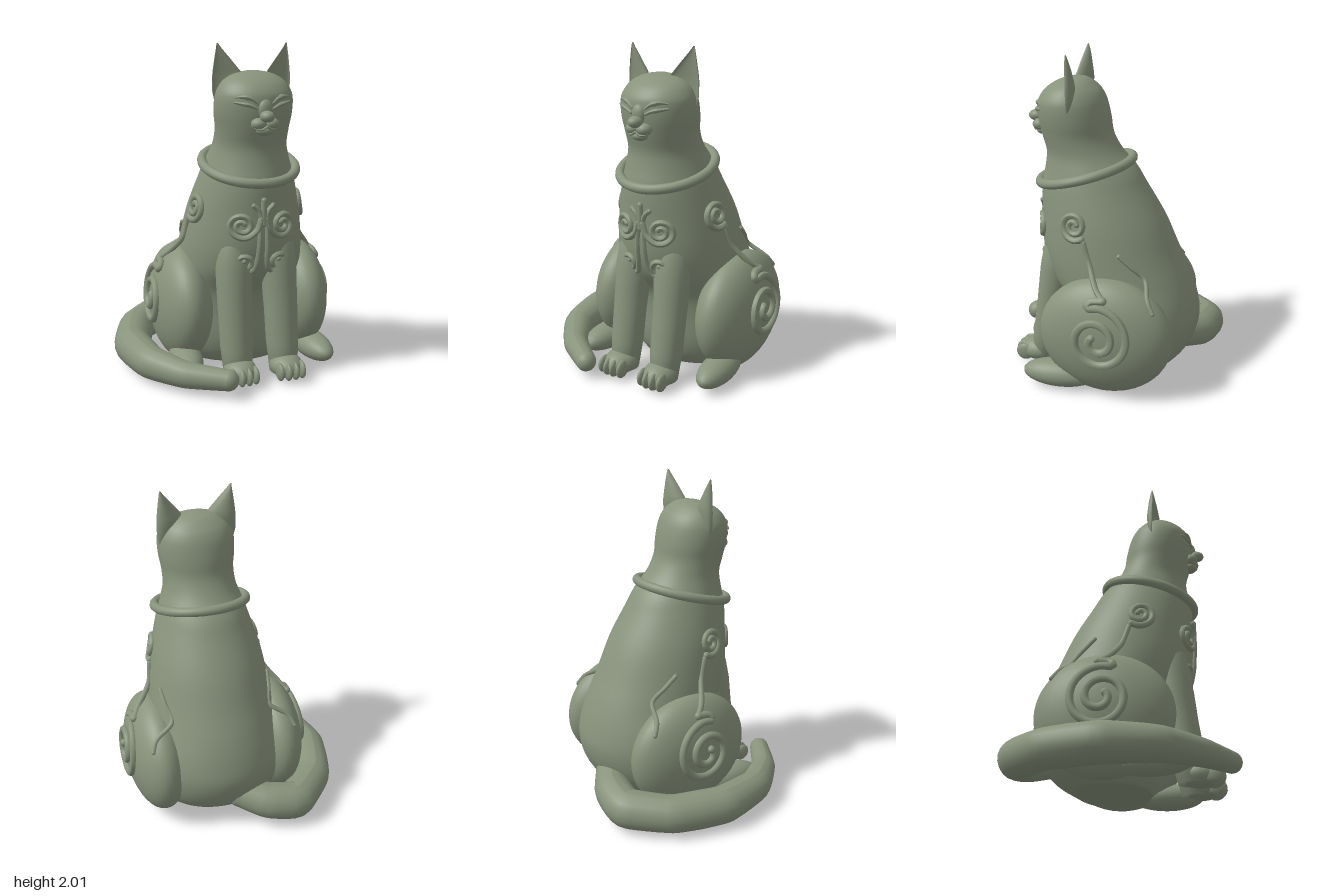
import * as THREE from 'three';

const stone = new THREE.MeshStandardMaterial({ color: 0x88937c });
stone.name = 'grey green stone';

// Torso, neck and head: height, back z, front z, half width
const PROFILE = [
  [0, -0.3, 0.14, 0.3], [0.08, -0.43, 0.2, 0.37], [0.2, -0.53, 0.23, 0.42],
  [0.36, -0.575, 0.24, 0.435], [0.5, -0.555, 0.27, 0.425], [0.65, -0.505, 0.37, 0.4],
  [0.8, -0.435, 0.415, 0.38], [1.0, -0.345, 0.42, 0.345], [1.2, -0.225, 0.42, 0.29],
  [1.3, -0.165, 0.4, 0.258], [1.4, -0.075, 0.39, 0.225], [1.5, -0.018, 0.415, 0.222],
  [1.6, 0, 0.435, 0.235], [1.7, 0.025, 0.435, 0.232], [1.76, 0.055, 0.4, 0.205],
  [1.8, 0.095, 0.35, 0.165], [1.83, 0.14, 0.285, 0.1], [1.842, 0.185, 0.225, 0.03],
];

// Smooth interpolation of one profile column at height y
function profile(y, c) {
  const P = PROFILE, n = P.length - 1;
  let i = 0;
  while (i < n - 1 && y > P[i + 1][0]) i++;
  const slope = (k) => {
    const a = P[Math.max(k - 1, 0)], b = P[Math.min(k + 1, n)];
    return (b[c] - a[c]) / (b[0] - a[0]);
  };
  const h = P[i + 1][0] - P[i][0], t = (y - P[i][0]) / h, t2 = t * t, t3 = t2 * t;
  return (2 * t3 - 3 * t2 + 1) * P[i][c] + (t3 - 2 * t2 + t) * h * slope(i)
    + (3 * t2 - 2 * t3) * P[i + 1][c] + (t3 - t2) * h * slope(i + 1);
}

// Haunch ellipsoid
const H = { x: 0.385, y: 0.37, z: -0.08, rx: 0.19, ry: 0.37, rz: 0.41 };

// Surface lookups used to lay ornaments on the skin
function sideX(y, z) {
  const b = profile(y, 1), f = profile(y, 2);
  const q = 1 - ((z - (b + f) / 2) / ((f - b) / 2)) ** 2;
  const k = 1 - ((y - H.y) / H.ry) ** 2 - ((z - H.z) / H.rz) ** 2;
  return Math.max(q > 0 ? profile(y, 3) * Math.sqrt(q) : 0, k > 0 ? H.x + H.rx * Math.sqrt(k) : 0);
}
function frontZ(x, y) {
  const b = profile(y, 1), f = profile(y, 2);
  return (b + f) / 2 + ((f - b) / 2) * Math.sqrt(Math.max(0, 1 - (x / profile(y, 3)) ** 2));
}

// Closed skin over a stack of rings, bottom to top
function loft(rings) {
  const n = rings[0].length, pos = [], idx = [];
  rings.forEach((r) => r.forEach((p) => pos.push(...p)));
  for (let i = 0; i < rings.length - 1; i++) for (let j = 0; j < n; j++) {
    const a = i * n + j, b = i * n + (j + 1) % n;
    idx.push(a, a + n, b, b, a + n, b + n);
  }
  [0, rings.length - 1].forEach((i) => {
    const mid = [0, 1, 2].map((k) => rings[i].reduce((s, p) => s + p[k], 0) / n);
    const c = pos.length / 3;
    pos.push(...mid);
    for (let j = 0; j < n; j++) {
      const a = i * n + j, b = i * n + (j + 1) % n;
      if (i) idx.push(a, c, b); else idx.push(a, b, c);
    }
  });
  const g = new THREE.BufferGeometry();
  g.setAttribute('position', new THREE.Float32BufferAttribute(pos, 3));
  g.setIndex(idx);
  g.computeVertexNormals();
  return g;
}
function ring(n, fn) {
  return Array.from({ length: n }, (_, j) => fn(Math.cos(j / n * 2 * Math.PI), Math.sin(j / n * 2 * Math.PI)));
}

export function createModel() {
  const root = new THREE.Group();
  const cat = new THREE.Group();
  cat.name = 'cat';
  cat.position.x = 0.11;
  root.add(cat);

  const add = (name, geo) => {
    const m = new THREE.Mesh(geo, stone);
    m.name = name;
    cat.add(m);
    return m;
  };
  const blob = (name, p, r, seg = 24) => {
    const m = add(name, new THREE.SphereGeometry(1, seg, Math.ceil(seg * 0.7)));
    m.position.set(...p);
    m.scale.set(...r);
    return m;
  };
  // Round-ended tube whose radius follows radii along the path
  const cord = (name, pts, radii, steps = 40, sides = 8, tension = 0.5) => {
    const curve = new THREE.CatmullRomCurve3(pts.map((p) => new THREE.Vector3(...p)), false, 'catmullrom', tension);
    const g = new THREE.TubeGeometry(curve, steps, 1, sides);
    const v = new THREE.Vector3(), pos = g.attributes.position;
    for (let i = 0; i <= steps; i++) {
      const c = curve.getPointAt(i / steps), f = i / steps * (radii.length - 1);
      const k = Math.min(Math.floor(f), radii.length - 2);
      const r = radii.length < 2 ? radii[0] : THREE.MathUtils.lerp(radii[k], radii[k + 1], f - k);
      for (let j = 0; j <= sides; j++) {
        const q = i * (sides + 1) + j;
        v.fromBufferAttribute(pos, q).sub(c).multiplyScalar(r).add(c);
        pos.setXYZ(q, v.x, v.y, v.z);
      }
    }
    g.computeVertexNormals();
    add(name, g);
    const ends = [[pts[0], radii[0]], [pts[pts.length - 1], radii[radii.length - 1]]];
    ends.forEach(([p, r]) => blob(name + 'End', p, [r, r, r], Math.max(sides, 10)));
  };
  // Flat spiral points from outside to inside
  const spiral = (cx, cy, r0, r1, a0, turns, n) => Array.from({ length: n + 1 }, (_, i) => {
    const t = i / n, a = a0 + turns * 2 * Math.PI * t, r = r0 + (r1 - r0) * t;
    return [cx + r * Math.cos(a), cy + r * Math.sin(a)];
  });

  // Torso, neck and head in one skin
  const rows = [];
  for (let i = 0; i < PROFILE.length - 1; i++) for (let k = 0; k < 4; k++) {
    rows.push(PROFILE[i][0] + (PROFILE[i + 1][0] - PROFILE[i][0]) * k / 4);
  }
  rows.push(1.842);
  add('bodyAndHead', loft(rows.map((y) => {
    const b = profile(y, 1), f = profile(y, 2), w = profile(y, 3);
    return ring(56, (c, s) => [w * c, y, (b + f) / 2 + (f - b) / 2 * s]);
  })));

  // Tilted collar
  const collar = add('collar', new THREE.TorusGeometry(0.285, 0.029, 12, 64));
  collar.position.set(0, 1.28, 0.15);
  collar.rotation.x = Math.PI / 2 + 0.27;
  collar.scale.y = 1.03;

  // Nose, chin and mouth
  blob('nose', [0, 1.592, 0.462], [0.042, 0.034, 0.05]);
  blob('noseBridge', [0, 1.63, 0.425], [0.045, 0.06, 0.035]);
  blob('chin', [0, 1.508, 0.42], [0.05, 0.03, 0.042]);

  for (const s of [-1, 1]) {
    // Haunch and hind foot
    blob('haunch', [s * H.x, H.y, H.z], [H.rx, H.ry, H.rz], 40);
    const foot = blob('hindFoot', [s * 0.42, 0.085, 0.2], [0.1, 0.085, 0.235]);
    foot.rotation.y = s * 0.08;

    // Front leg, paw and toes: height, x, z, x radius, z radius
    const leg = [[0.02, 0.148, 0.4, 0.085, 0.09], [0.2, 0.148, 0.37, 0.1, 0.1], [0.4, 0.148, 0.34, 0.104, 0.1],
      [0.55, 0.146, 0.315, 0.108, 0.107], [0.68, 0.14, 0.298, 0.115, 0.11], [0.8, 0.135, 0.275, 0.11, 0.11], [0.92, 0.13, 0.25, 0.08, 0.09]];
    add('frontLeg', loft(leg.map(([y, x, z, rx, rz]) => ring(24, (c, q) => [s * x + rx * c, y, z + rz * q]))));
    blob('frontPaw', [s * 0.148, 0.07, 0.44], [0.1, 0.075, 0.12]);
    for (let i = 0; i < 4; i++) {
      const d = i - 1.5;
      blob('toe', [s * 0.148 + d * 0.046, 0.062, 0.535 - Math.abs(d) * 0.012], [0.021, 0.055, 0.058], 12);
    }

    // Ear, cupped at the front: height, inner edge, outer edge, depth
    const ear = [[1.64, 0.13, 0.225, 0.02], [1.72, 0.09, 0.243, 0.045], [1.8, 0.07, 0.244, 0.055],
      [1.84, 0.085, 0.241, 0.05], [1.92, 0.15, 0.23, 0.036], [1.97, 0.191, 0.222, 0.02], [2.0, 0.211, 0.218, 0.006]];
    add('ear', loft(ear.map(([y, a, b, d]) => ring(24, (c, q) => {
      const dx = (b - a) / 2 * c;
      return [s * (a + b) / 2 + dx, y, 0.198 - 0.25 * s * dx - d * (q < 0 ? -q : 0.35 * q) + d * 0.35];
    }))));

    // Cheek pad, closed eye, brow and mouth line
    blob('muzzlePad', [s * 0.037, 1.548, 0.428], [0.047, 0.036, 0.046]);
    const face = (pts, lift) => pts.map(([x, y]) => [s * x, y, frontZ(x, y) + lift]);
    cord('closedEye', face([[0.05, 1.635], [0.085, 1.652], [0.12, 1.66], [0.165, 1.668]], 0.002), [0.008, 0.013, 0.007], 16);
    cord('brow', face([[0.045, 1.665], [0.08, 1.69], [0.12, 1.7], [0.16, 1.695]], -0.004), [0.008, 0.016, 0.006], 16);
    cord('mouth', [[0, 1.535, 0.466], [s * 0.03, 1.518, 0.46], [s * 0.06, 1.522, 0.445], [s * 0.078, 1.535, 0.42]], [0.007, 0.008, 0.005], 16);

    // Side scrolls: points are z, y laid on the flank
    const flank = (pts) => pts.map(([z, y]) => [s * (sideX(y, z) + 0.004), y, z]);
    cord('haunchSpiral', flank([[-0.1, 0.655], [-0.03, 0.645], ...spiral(-0.075, 0.42, 0.2, 0.035, 1.25, 1.9, 30)]), [0.024, 0.024], 110);
    cord('flankStem', flank([[-0.1, 0.655], [-0.04, 0.71], [0.02, 0.82], [0.06, 0.94]]), [0.019, 0.015], 30);
    cord('shoulderSpiral', flank(spiral(0.125, 1.025, 0.085, 0.02, -2.2, 1.75, 24)), [0.021, 0.017], 60);
    cord('flankBar', flank([[-0.15, 0.87], [-0.22, 0.805], [-0.3, 0.725], [-0.34, 0.65], [-0.38, 0.585]]), [0.014, 0.014], 24);

    // Chest scrolls
    const chest = (pts) => pts.map(([x, y]) => [s * x, y, frontZ(x, y) + 0.004]);
    cord('chestSpiral', chest([[0.015, 0.99], [0.035, 0.93], ...spiral(0.125, 0.95, 0.078, 0.018, 3.9, 1.75, 24)]), [0.02, 0.017], 60);
    cord('lowerChestSpiral', chest([[0.02, 0.94], [0.025, 0.83], [0.03, 0.74], ...spiral(0.102, 0.715, 0.067, 0.016, 3.7, 1.6, 22)]), [0.014, 0.018, 0.016], 60);
    cord('chestPetal', chest([[0.01, 0.98], [0.03, 1.04], [0.06, 1.07]]), [0.016, 0.015], 12);
  }
  cord('chestCrest', [0.96, 1.04, 1.1].map((y) => [0, y, frontZ(0, y) + 0.004]), [0.02, 0.018], 12);

  // Tail curling round the right side, slightly knuckled
  cord('tail', [[0.03, 0.2, -0.46], [-0.12, 0.16, -0.545], [-0.3, 0.13, -0.56], [-0.5, 0.12, -0.36], [-0.592, 0.115, -0.05],
    [-0.54, 0.11, 0.25], [-0.38, 0.1, 0.47], [-0.17, 0.1, 0.62]].map(([x, y, z]) => [x - 0.11, y, z]),
  [0.1, 0.115, 0.12, 0.115, 0.118, 0.115, 0.105, 0.09, 0.074, 0.062], 90, 20, 0.22);

  return root;
}
